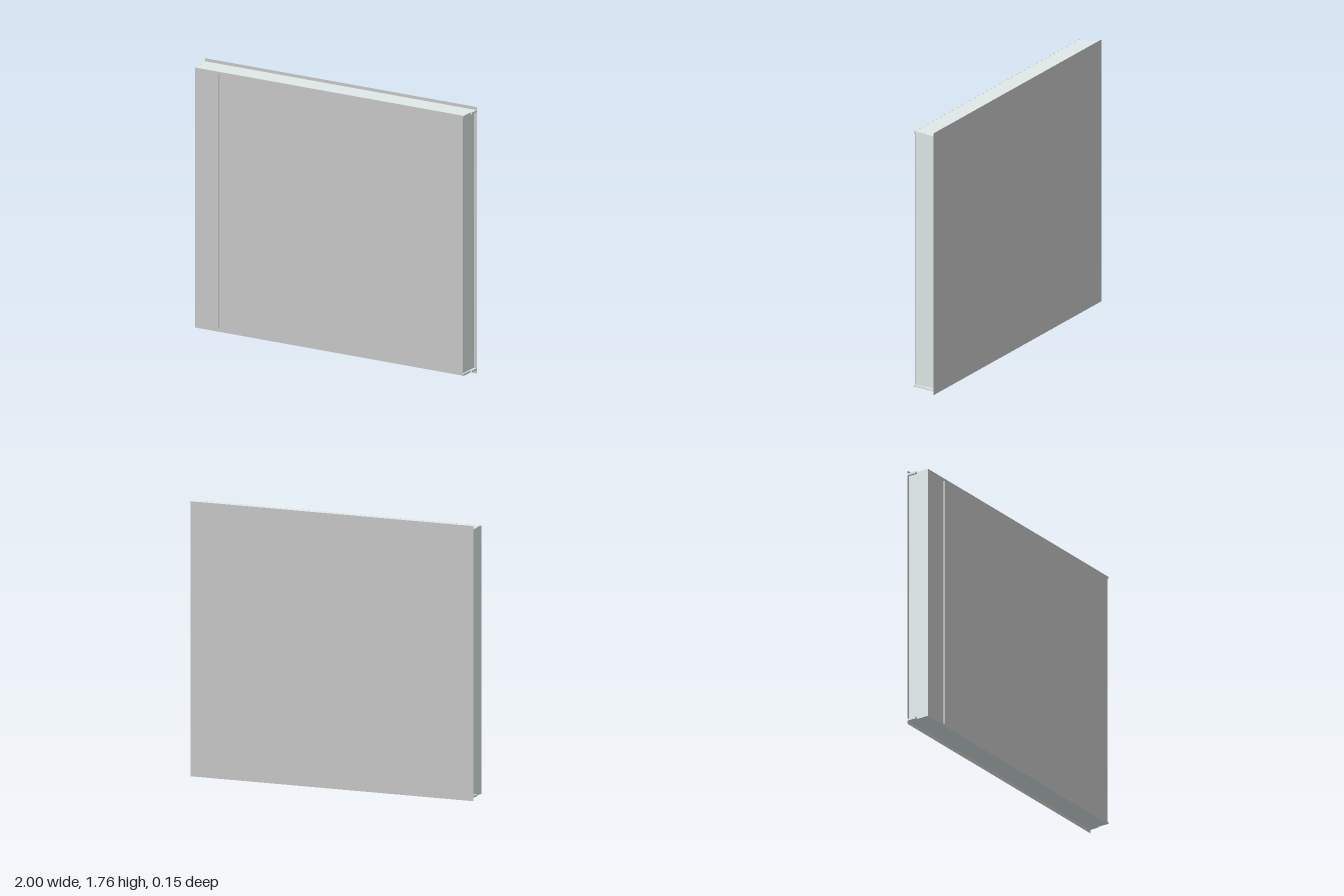
import * as THREE from 'three';

const BACK = -0.069, FRONT = 0.076, STEP = -0.008;
const LEFT = -0.985, RIGHT = 0.98, BOTTOM = 0.023, TOP = 1.744, CAP = 0.013;
const GROOVE = [-0.812, -0.801];
const FRAME_COLOR = 0xe0e9e9, SKIN_COLOR = 0xf6f7f9;

// Extrude a plan outline of [x, z] points upward from y0 to y1
function slab(name, plan, y0, y1) {
  const shape = new THREE.Shape(plan.map(([x, z]) => new THREE.Vector2(x, -z)));
  const geo = new THREE.ExtrudeGeometry(shape, { depth: y1 - y0, bevelEnabled: false });
  geo.rotateX(-Math.PI / 2);
  geo.translate(0, y0, 0);
  const mesh = new THREE.Mesh(geo, new THREE.MeshStandardMaterial({ color: FRAME_COLOR }));
  mesh.name = name;
  return mesh;
}

// Paper-thin upright rectangle seen from both sides
function skin(name, x0, x1, y0, y1, z) {
  const mesh = new THREE.Mesh(
    new THREE.PlaneGeometry(x1 - x0, y1 - y0),
    new THREE.MeshStandardMaterial({ color: SKIN_COLOR, side: THREE.DoubleSide }),
  );
  mesh.name = name;
  mesh.position.set((x0 + x1) / 2, (y0 + y1) / 2, z);
  return mesh;
}

export function createModel() {
  const panel = new THREE.Group();
  panel.name = 'doorPanel';
  const y0 = BOTTOM + CAP, y1 = TOP - CAP;
  const [g0, g1] = GROOVE;

  // Core with a narrow vertical groove in its front face
  const core = [
    [LEFT, FRONT], [g0, FRONT], [g0, FRONT - 0.012], [g1, FRONT - 0.012],
    [g1, FRONT], [RIGHT, FRONT], [RIGHT, BACK], [LEFT, BACK],
  ];
  panel.add(slab('core', core, y0, y1));

  // End caps, stepped outward behind the middle of the thickness
  const cap = [
    [LEFT, FRONT], [0.991, FRONT], [0.991, STEP], [1, STEP],
    [1, BACK], [-1, BACK], [-1, STEP], [LEFT, STEP],
  ];
  panel.add(slab('bottomCap', cap, BOTTOM, y0), slab('topCap', cap, y1, TOP));

  // Light facings: both sides of the groove, cap edges, and the wide back sheet
  const z = FRONT + 0.001;
  panel.add(
    skin('edgeFacing', LEFT, g0, y0, y1, z),
    skin('mainFacing', g1, RIGHT, y0, y1, z),
    skin('bottomFacing', LEFT, 0.991, BOTTOM, y0, z),
    skin('topFacing', LEFT, 0.991, y1, TOP, z),
    skin('backSheet', -1, 1, 0, 1.764, BACK - 0.001),
  );

  return panel;
}
